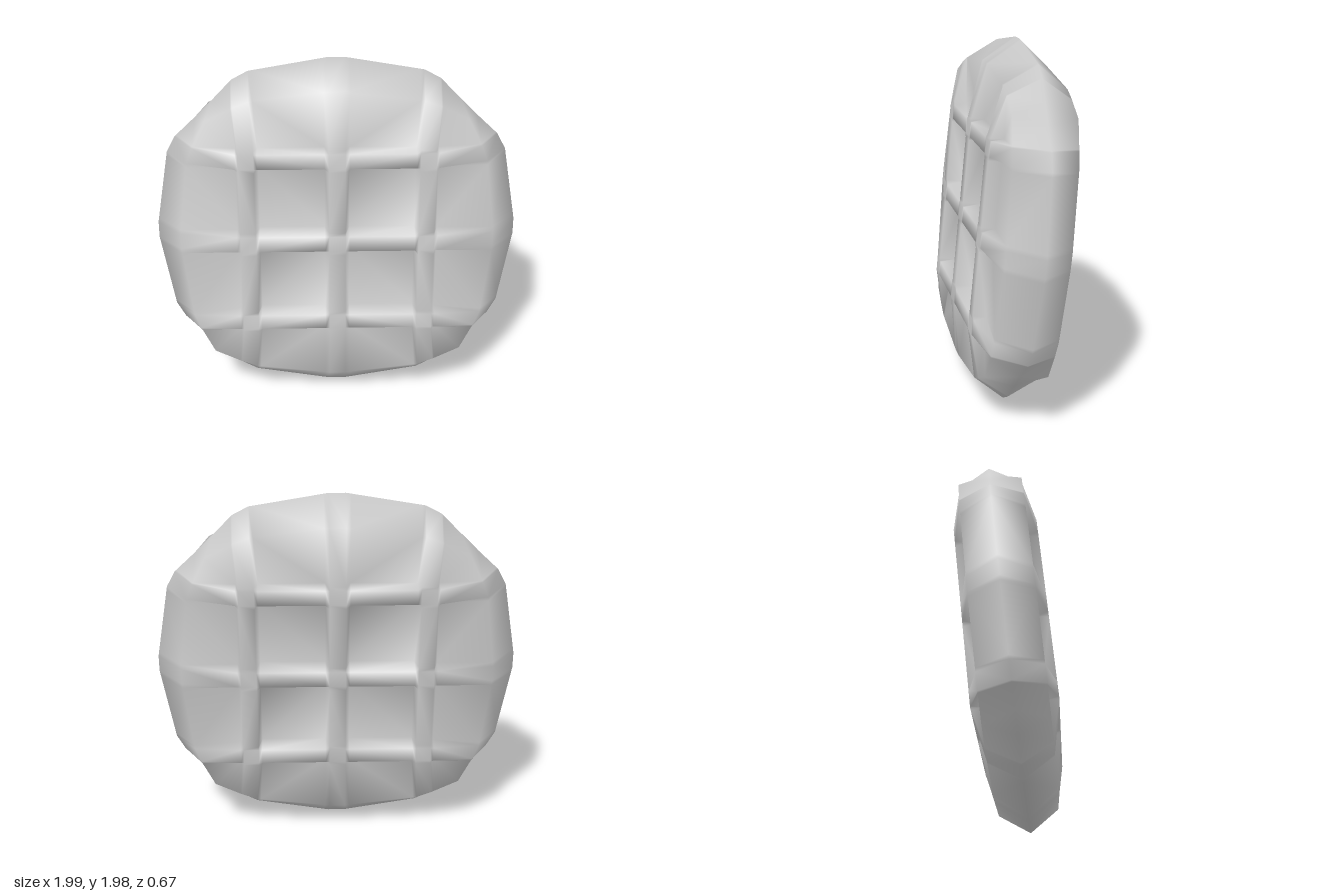
import * as THREE from 'three';
import { mergeVertices } from 'three/addons/utils/BufferGeometryUtils.js';

const INNER = 0.53;    // half size of the flat ribbed square
const TOP = 0.227;     // half thickness at the ribs
const FLOOR = 0.13;    // floor height of the four middle pockets
const OUTER_FLOOR = 0.157; // floor height of the border pockets, at their deep end
const SHOULDER = 0.7, SHOULDER_H = 0.171; // where the slope turns down to the rim
const FAN = 1.06;      // spread of the grid lines towards the rim
const { lerp } = THREE.MathUtils;

// Grid lines: rib edges, foot of each rib wall, shoulder and rim
const half = [0.044, 0.068, 0.426, 0.446, INNER, 0.55, lerp(INNER, 1, SHOULDER), 1];
const lines = [...half.map(v => -v).reverse(), ...half];

// Distance from the middle to the rim, above a given grid line
function rim(a) {
  if (a <= 0.044) return 1.003;
  return a < 0.446 ? lerp(1.003, 0.93, (a - 0.044) / 0.402) : lerp(0.93, 0.882, (a - 0.446) / 0.084);
}

// True between ribs, false on a rib
function inPocket(a) {
  return Math.min(Math.abs(a), Math.abs(a - 0.488)) > 0.055;
}

// Square grid position to a point on the rounded outline, with its height
function surfacePoint(a, b) {
  const p = Math.abs(a), q = Math.abs(b);
  const s = Math.max(0, (p - INNER) / (1 - INNER));
  const r = Math.max(0, (q - INNER) / (1 - INNER));
  let x = p, y = q;
  if (s > 0 && r > 0) { // corner patch, cut straight across at the rim
    const e = rim(INNER), f = INNER * FAN, c = 0.718;
    x = lerp(lerp(INNER, e, s), lerp(f, c, s), r);
    y = lerp(lerp(INNER, e, r), lerp(f, c, r), s);
  } else if (s > 0) {
    x = lerp(INNER, rim(q), s);
    y = q * lerp(1, FAN, s);
  } else if (r > 0) {
    x = p * lerp(1, FAN, r);
    y = lerp(INNER, rim(p), r);
  }

  const t = Math.max(s, r);
  let h = lerp(SHOULDER_H, 0, (t - SHOULDER) / (1 - SHOULDER));
  if (t < SHOULDER - 1e-6) {
    h = lerp(TOP, SHOULDER_H, t / SHOULDER);
    if (inPocket(p) && inPocket(q)) h = t > 0 ? lerp(OUTER_FLOOR, SHOULDER_H, t / SHOULDER) : FLOOR;
  }
  return [Math.sign(a) * x, Math.sign(b) * y * 0.99, h];
}

// Front and back sheets, welded along the rim
function waffleGeometry() {
  const n = lines.length, positions = [], indices = [];
  for (const side of [1, -1]) {
    const base = positions.length / 3;
    for (const b of lines) for (const a of lines) {
      const [x, y, h] = surfacePoint(a, b);
      positions.push(x, y, side * h);
    }
    for (let j = 0; j < n - 1; j++) for (let i = 0; i < n - 1; i++) {
      const A = base + j * n + i, B = A + 1, C = B + n, D = A + n;
      // Diagonals run outward from the centre
      const rising = (lines[i] + lines[i + 1]) * (lines[j] + lines[j + 1]) >= 0;
      const tris = rising ? [[A, B, C], [A, C, D]] : [[A, B, D], [B, C, D]];
      for (const [u, v, w] of tris) indices.push(...(side > 0 ? [u, v, w] : [u, w, v]));
    }
  }
  const g = new THREE.BufferGeometry();
  g.setAttribute('position', new THREE.Float32BufferAttribute(positions, 3));
  g.setIndex(indices);
  const welded = mergeVertices(g, 1e-4);
  welded.computeVertexNormals();
  return welded;
}

export function createModel() {
  const group = new THREE.Group();
  group.name = 'waffle';
  const body = new THREE.Mesh(waffleGeometry(), new THREE.MeshStandardMaterial({ color: 0xcccccc }));
  body.name = 'waffleBody';
  // Leaning back and turned slightly
  body.rotation.set(-0.1, 0.11, 0, 'YXZ');
  body.position.y = 0.988;
  group.add(body);
  return group;
}
